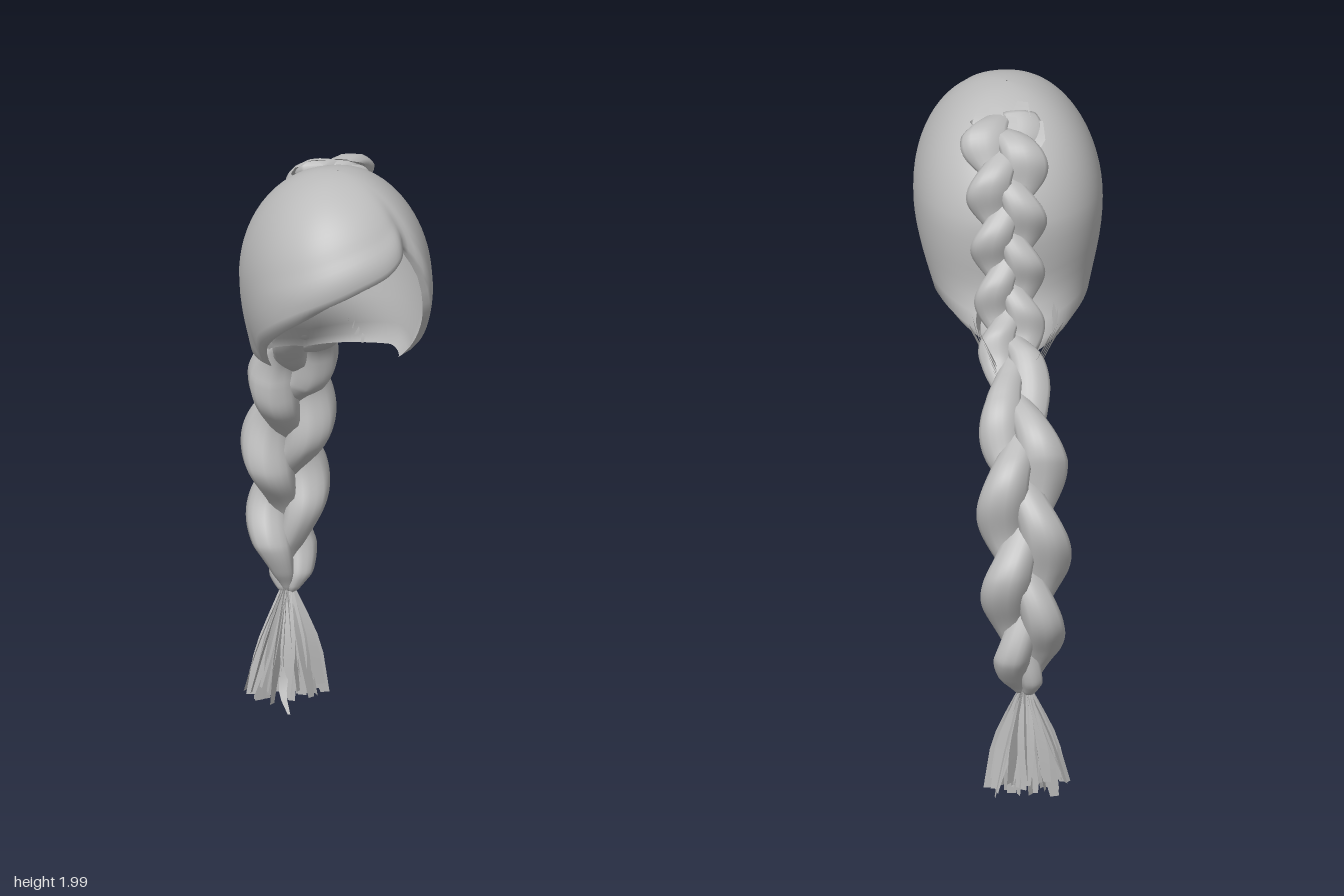
import * as THREE from 'three';

const hair = new THREE.MeshStandardMaterial({ color: 0xbcbcbc, side: THREE.DoubleSide });
hair.name = 'hair grey';

const { lerp, clamp } = THREE.MathUtils;

// Linear lookup in a list of [position, value] pairs
function lookup(table, x) {
  for (let i = 1; i < table.length; i++) {
    const [a, va] = table[i - 1], [b, vb] = table[i];
    if (x <= b) return lerp(va, vb, clamp((x - a) / (b - a), 0, 1));
  }
  return table[table.length - 1][1];
}

function build(pos, index) {
  const g = new THREE.BufferGeometry();
  g.setAttribute('position', new THREE.Float32BufferAttribute(pos, 3));
  g.setIndex(index);
  g.computeVertexNormals();
  return g;
}

// Surface of closed rings: point(angle, row) for each row
function loft(point, sides, rows) {
  const pos = [], index = [];
  for (let j = 0; j <= rows; j++)
    for (let i = 0; i < sides; i++) pos.push(...point((i / sides) * Math.PI * 2, j));
  for (let j = 0; j < rows; j++)
    for (let i = 0; i < sides; i++) {
      const k = (i + 1) % sides;
      const a = j * sides + i, b = j * sides + k, c = a + sides, d = b + sides;
      index.push(a, c, b, b, c, d);
    }
  return build(pos, index);
}

function add(group, geometry, name) {
  const mesh = new THREE.Mesh(geometry, hair);
  mesh.name = name;
  group.add(mesh);
}

// Height of the hairline by direction in degrees (0 front, positive to the left)
const hairline = [
  [-180, 1.27], [-150, 1.31], [-120, 1.355], [-90, 1.36], [-74, 1.45], [-46, 1.56], [-20, 1.65],
  [0, 1.70], [20, 1.74], [40, 1.81], [48, 1.75], [57, 1.58], [75, 1.43], [90, 1.36],
  [120, 1.355], [150, 1.31], [180, 1.27],
];

// Scalp hair: a domed shell cut off at the hairline, with a side parting
function capGeometry() {
  const rows = 26;
  return loft((angle, j) => {
    const deg = angle > Math.PI ? angle * 180 / Math.PI - 360 : angle * 180 / Math.PI;
    const edge = (lookup(hairline, deg - 3) + lookup(hairline, deg) + lookup(hairline, deg + 3)) / 3;
    const front = Math.cos(angle), back = Math.max(0, -front);
    const lower = 0.42 + 0.18 * back;
    const v = Math.min(1, 0.004 + j / rows);
    const theta = v * Math.acos((edge - 1.65) / (edge > 1.65 ? 0.35 : lower));
    const c = Math.cos(theta), s = Math.sin(theta);
    let y = 1.65 + c * (c > 0 ? 0.35 : lower);
    // parting groove, rolled fringe and slightly squared plan
    const groove = Math.exp(-(((deg - 43) / 7) ** 2)) * v ** 3;
    const roll = Math.max(0, front) * Math.sin(clamp((v - 0.72) / 0.28, 0, 1) * Math.PI);
    let r = s * (1 - 0.13 * groove + 0.03 * roll) * (1 + 0.045 * Math.sin(2 * angle) ** 2);
    if (j === rows) { // rim turned inwards
      r *= 0.94;
      y += 0.01;
    }
    // nape widened and drawn back towards the braid
    const t = clamp((1.5 - y) / 0.23, 0, 1) ** 2;
    return [
      Math.sin(angle) * 0.286 * r * (1 + 0.3 * t * back),
      y,
      0.3 + 0.04 * Math.max(0, c) + front * (front > 0 ? 0.36 : 0.33) * r - 0.2 * t * back ** 2,
    ];
  }, 120, rows);
}

// Centre line of the braid, from crown over the nape to the tie
const path = new THREE.CatmullRomCurve3([
  [0.19, 1.955], [0.07, 1.9], [0.005, 1.8], [-0.035, 1.65], [-0.065, 1.5], [-0.12, 1.37], [-0.24, 1.275],
  [-0.38, 1.18], [-0.47, 1.05], [-0.535, 0.85], [-0.565, 0.68], [-0.555, 0.52], [-0.53, 0.35],
].map(([z, y]) => new THREE.Vector3(0.032, y, z)));

const halfWidth = [[0, 0.1], [0.05, 0.125], [0.15, 0.115], [0.3, 0.1], [0.42, 0.095], [0.5, 0.1],
  [0.6, 0.13], [0.78, 0.133], [0.92, 0.105], [0.97, 0.07], [1, 0.022]];
const depth = [[0, 0.4], [0.1, 0.55], [0.35, 0.65], [0.5, 0.7], [0.6, 0.9], [1, 0.9]];
const turns = [[0, 0], [0.42, 1.65], [1, 3]];

// One strand of the three, swelling where it shows at the side
function strandGeometry(phase) {
  const rows = 180;
  const X = new THREE.Vector3(1, 0, 0);
  return loft((angle, j) => {
    const u = j / rows;
    const p = path.getPointAt(u);
    const N = X.clone().cross(path.getTangentAt(u));
    const w = lookup(halfWidth, u), d = lookup(depth, u);
    const s = lookup(turns, u) * Math.PI * 2 + phase;
    const end = j === 0 || j === rows ? 0.02 : 1;
    const r = w * (0.42 + 0.16 * Math.sin(s) ** 2) * end * (1 + 0.035 * Math.cos(7 * angle));
    p.addScaledVector(X, Math.sin(s) * w * 0.5 + Math.cos(angle) * r);
    p.addScaledVector(N, (Math.sin(2 * s) * w * 0.3 + Math.sin(angle) * r) * d);
    return [p.x, p.y, p.z];
  }, 20, rows);
}

// Flat tapered lock running through a few points
function lockGeometry(points, widths, across) {
  const curve = new THREE.CatmullRomCurve3(points.map((p) => new THREE.Vector3(...p)));
  const rows = 6, pos = [], index = [];
  for (let i = 0; i <= rows; i++) {
    const p = curve.getPoint(i / rows);
    const w = lookup(widths, i / rows);
    for (const k of [-w, w]) pos.push(p.x + across[0] * k, p.y + across[1] * k, p.z + across[2] * k);
    if (i < rows) index.push(2 * i, 2 * i + 2, 2 * i + 1, 2 * i + 1, 2 * i + 2, 2 * i + 3);
  }
  return build(pos, index);
}

export function createModel() {
  let seed = 7;
  const random = () => (seed = (seed * 16807) % 2147483647) / 2147483647;

  const model = new THREE.Group();
  model.name = 'braidedHair';
  const section = (name) => {
    const group = new THREE.Group();
    group.name = name;
    model.add(group);
    return group;
  };
  add(model, capGeometry(), 'scalpHair');

  const braid = section('braid');
  for (let i = 0; i < 3; i++) add(braid, strandGeometry((i * Math.PI * 2) / 3), 'braidStrand');

  // Loose tail below the tie
  const tail = section('tail');
  const count = 46;
  for (let i = 0; i < count; i++) {
    const a = (i / count) * Math.PI * 2 * 3;
    const reach = 0.45 + 0.55 * random();
    const x = 0.022 + Math.cos(a) * 0.13 * reach, z = -0.52 + Math.sin(a) * 0.05 * reach;
    const turn = random() * Math.PI;
    add(tail, lockGeometry(
      [[0.03, 0.39, -0.535], [lerp(0.03, x, 0.55), 0.22, lerp(-0.53, z, 0.8)], [x, 0.01 + 0.06 * random(), z]],
      [[0, 0.012], [0.6, 0.03], [1, 0.014]],
      [Math.cos(turn), 0, Math.sin(turn) * 0.7],
    ), 'tailLock');
  }
  add(tail, lockGeometry([[0.03, 0.2, -0.5], [0, 0.06, -0.46], [0, 0.015, -0.37]],
    [[0, 0.02], [1, 0.004]], [1, 0, 0]), 'strayLock');

  // Locks from the nape gathered into the braid
  const nape = section('napeLocks');
  for (const side of [-1, 1])
    for (let i = 0; i < 4; i++)
      add(nape, lockGeometry([
        [side * (0.15 - i * 0.015), 1.34 + i * 0.022, 0.02 - i * 0.005],
        [0.015 + side * 0.115, 1.33 + i * 0.018, -0.09 - i * 0.008],
        [0.03 + side * 0.06, 1.28 + i * 0.014, -0.24],
      ], [[0, 0.012], [0.5, 0.026], [1, 0.014]], [side * 0.25, 0.9, -0.3]), 'napeLock');

  // Short tufts lying on the dome where the braid starts
  const tufts = section('crownTufts');
  const domeY = (x, z) => 1.665 + 0.35 * Math.sqrt(1 - (x / 0.288) ** 2 - ((z - 0.33) / 0.36) ** 2);
  for (let i = 0; i < 6; i++) {
    const x = -0.075 + i * 0.04, z = 0.14 + 0.07 * random();
    add(tufts, lockGeometry(
      [[x, domeY(x, z), z], [x + 0.01, domeY(x, z - 0.05), z - 0.05], [lerp(x, 0.03, 0.2), domeY(x, 0.07), 0.07]],
      [[0, 0.016], [0.5, 0.028], [1, 0.016]], [1, -x * 2, 0.2]), 'crownTuft');
  }
  return model;
}
